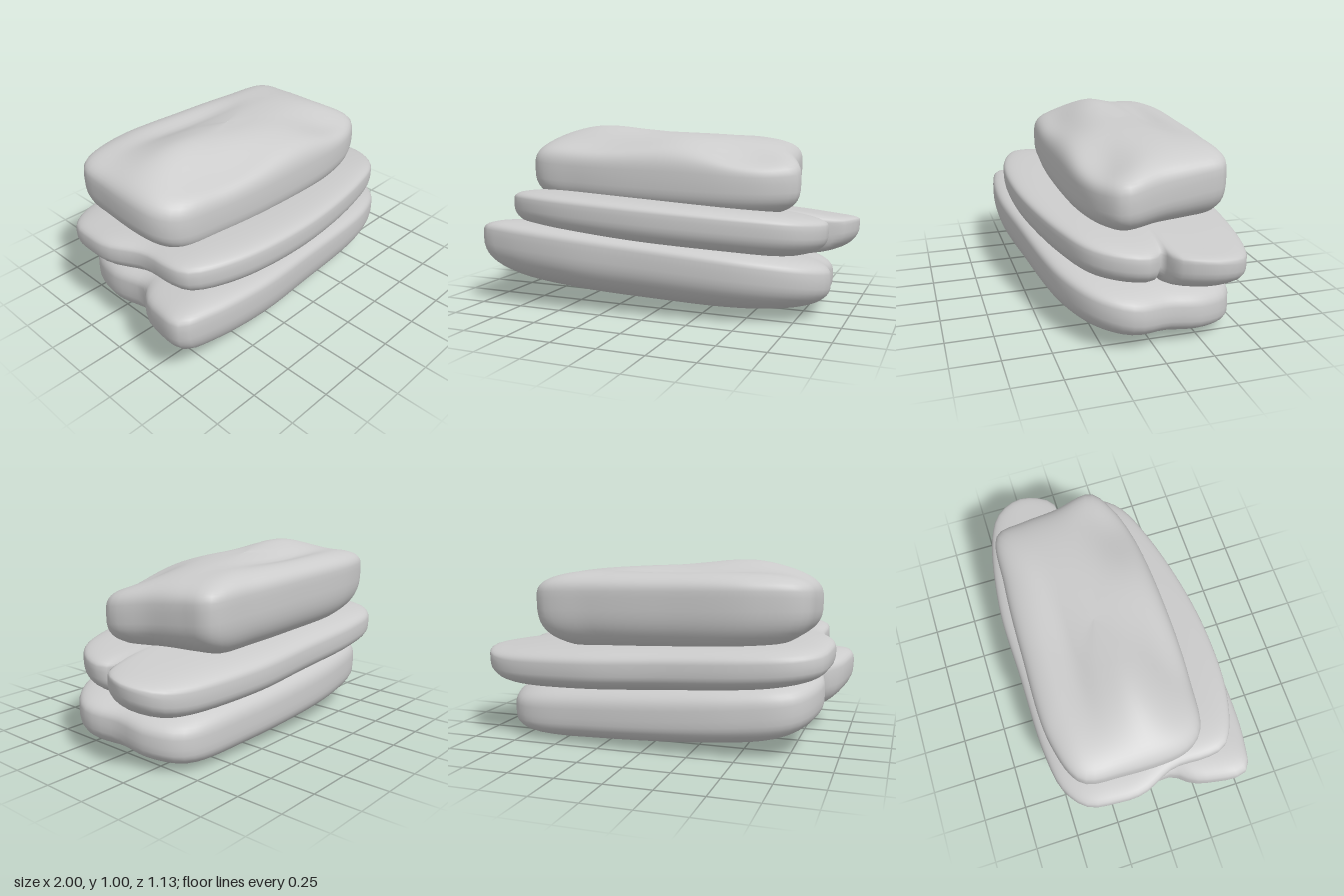
import * as THREE from 'three';

const bump = (x, z, cx, cz, rx, rz) => Math.exp(-(((x - cx) / rx) ** 2) - ((z - cz) / rz) ** 2);

// Soft cushion: a plan outline [x, z], swept from bottom to top over a rounded rim.
// bottom, rim and top give the height at any (x, z); the powers set how boxy
// the lower and upper halves of the rim are.
function cushion(name, outline, centre, bottom, rim, top, lowerPower, upperPower) {
  const segments = 96, rings = 36;
  const curve = new THREE.CatmullRomCurve3(
    outline.map(([x, z]) => new THREE.Vector3(x, 0, z)), true, 'centripetal');
  const plan = curve.getSpacedPoints(segments).slice(0, segments);
  const positions = [], indices = [];
  for (let j = 0; j <= rings; j++) {
    const angle = (j / rings - 0.5) * Math.PI;
    const power = angle < 0 ? lowerPower : upperPower;
    const r = Math.max(Math.cos(angle), 0.0001) ** (2 / power);
    const v = Math.abs(Math.sin(angle)) ** (2 / power);
    for (let i = 0; i < segments; i++) {
      const x = centre[0] + (plan[i].x - centre[0]) * r;
      const z = centre[1] + (plan[i].z - centre[1]) * r;
      const mid = rim(x, z);
      const end = angle < 0 ? bottom(x, z) : top(x, z);
      positions.push(x, mid + (end - mid) * v, z);
      if (j < rings) {
        const a = j * segments + i, b = j * segments + (i + 1) % segments;
        indices.push(a, b, a + segments, b, b + segments, a + segments);
      }
    }
  }
  const geometry = new THREE.BufferGeometry();
  geometry.setAttribute('position', new THREE.Float32BufferAttribute(positions, 3));
  geometry.setIndex(indices);
  geometry.computeVertexNormals();
  const mesh = new THREE.Mesh(geometry, new THREE.MeshStandardMaterial({ color: 0xcccccc, roughness: 0.8 }));
  mesh.name = name;
  return mesh;
}

export function createModel() {
  const model = new THREE.Group();
  model.name = 'stackedFolds';

  // Broad tilted base, with a lip drawn out at the front right corner
  model.add(cushion('bottomLayer', [
    [-0.99, 0.49], [-0.84, 0.54], [-0.48, 0.56], [-0.1, 0.52], [0.55, 0.42], [0.8, 0.3],
    [0.9, 0.17], [0.91, 0.08], [0.87, -0.06], [0.86, -0.25], [0.76, -0.42], [0.35, -0.49],
    [-0.5, -0.49], [-0.8, -0.4], [-0.9, -0.15], [-0.88, 0.1], [-0.95, 0.2], [-0.98, 0.3],
  ], [-0.02, 0.03],
  (x, z) => 0.035 - 0.05 * x + 0.08 * z,
  (x, z) => 0.26 - 0.07 * x + 0.15 * z,
  (x, z) => 0.405 - 0.08 * x + 0.08 * z, 2.8, 4));

  // Thick middle fold, with a cleft and an upturned lobe on the left end
  model.add(cushion('middleLayer', [
    [-0.87, 0.3], [-0.84, 0.4], [-0.6, 0.5], [-0.1, 0.52], [0.5, 0.41], [0.76, 0.3],
    [0.87, 0.14], [0.88, 0.02], [0.81, -0.04], [0.92, -0.07], [1, -0.25], [0.95, -0.4],
    [0.82, -0.48], [0.35, -0.56], [-0.1, -0.555], [-0.57, -0.545], [-0.8, -0.5], [-0.92, -0.4],
    [-0.95, -0.25], [-0.95, -0.1], [-0.87, 0.1],
  ], [0, -0.03],
  (x, z) => 0.33 - 0.06 * x + 0.05 * z,
  (x, z) => 0.51 - 0.05 * x + 0.09 * z + 0.05 * bump(x, z, 1, -0.25, 0.15, 0.25),
  (x, z) => 0.605 - 0.055 * x + 0.07 * z, 3, 4));

  // Fat upper roll: raised lump and groove on top, sloping lip along the front
  model.add(cushion('upperRoll', [
    [-0.84, 0.16], [-0.76, 0.26], [-0.5, 0.3], [-0.15, 0.315], [0.4, 0.285], [0.63, 0.22],
    [0.74, 0.13], [0.68, -0.1], [0.65, -0.3], [0.61, -0.45], [0.3, -0.49], [-0.1, -0.505],
    [-0.6, -0.495], [-0.83, -0.4], [-0.86, -0.2],
  ], [-0.08, -0.1],
  (x) => 0.52 - 0.03 * x,
  (x, z) => 0.77 - 0.03 * x - 0.12 * z,
  (x, z) => 0.975 - 0.015 * x
    + 0.04 * bump(x, z, -0.5, -0.04, 0.28, 0.13)
    - 0.035 * bump(x, z, -0.2, -0.28, 0.4, 0.08)
    - 0.06 * bump(x, z, -0.4, 0.22, 0.4, 0.13)
    - 0.1 * bump(x, z, 0.5, 0.18, 0.28, 0.18), 3.2, 3.2));

  return model;
}
